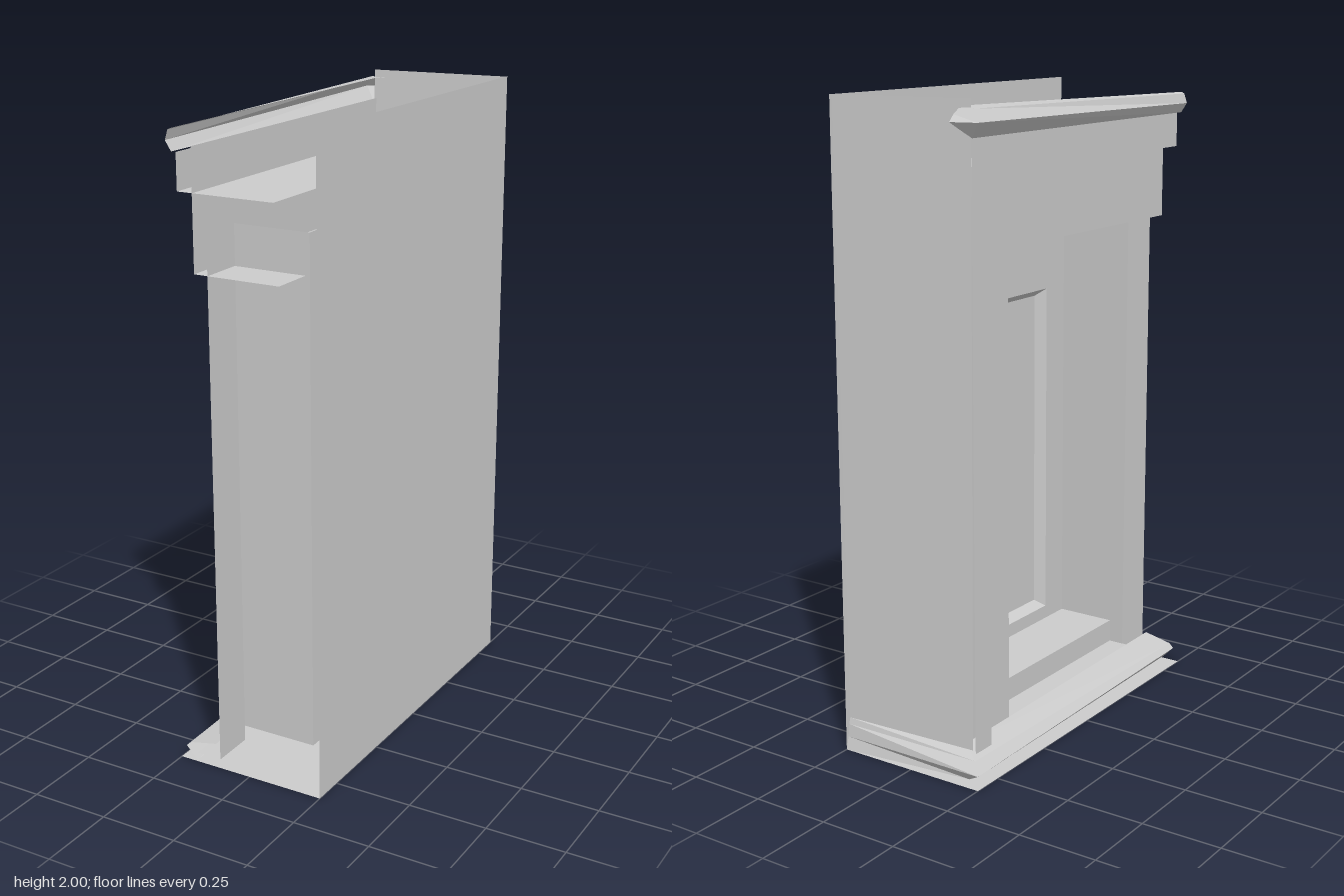
import * as THREE from 'three';

const material = new THREE.MeshStandardMaterial({ color: 0xcccccc, flatShading: true, side: THREE.DoubleSide });

// Loft a strip of faces through cross-sections that have equal point counts.
function loft(name, sections) {
  const n = sections[0].length;
  const index = [];
  for (let s = 0; s < sections.length - 1; s++) {
    for (let i = 0; i < n - 1; i++) {
      const a = s * n + i, b = a + n;
      index.push(a, b, a + 1, b, b + 1, a + 1);
    }
  }
  const g = new THREE.BufferGeometry();
  g.setAttribute('position', new THREE.Float32BufferAttribute(sections.flat(2), 3));
  g.setIndex(index);
  g.computeVertexNormals();
  const mesh = new THREE.Mesh(g, material);
  mesh.name = name;
  return mesh;
}

// Flat panels facing along each axis.
const panelX = (name, x, y0, y1, z0, z1) =>
  loft(name, [[[x, y0, z0], [x, y1, z0]], [[x, y0, z1], [x, y1, z1]]]);
const panelY = (name, y, x0, x1, z0, z1) =>
  loft(name, [[[x0, y, z0], [x1, y, z0]], [[x0, y, z1], [x1, y, z1]]]);
const panelZ = (name, z, x0, x1, y0, y1) =>
  loft(name, [[[x0, y0, z], [x1, y0, z]], [[x0, y1, z], [x1, y1, z]]]);

// Rectangular ring between two rectangles [x, y0, y1, z0, z1].
function ring(name, outer, inner) {
  const corners = ([x, y0, y1, z0, z1]) =>
    [[x, y0, z0], [x, y1, z0], [x, y1, z1], [x, y0, z1], [x, y0, z0]];
  return loft(name, [corners(outer), corners(inner)]);
}

export function createModel() {
  const model = new THREE.Group();
  model.name = 'doorwayBlock';

  // Outer shell
  model.add(
    panelX('rearWall', 0.25, 0, 2, -0.6, 0.6),
    panelY('base', 0, -0.25, 0.25, -0.6, 0.6),
    loft('sideWall', [
      [[0.25, 0.1, -0.58], [-0.19, 0.09, -0.54]],
      [[0.25, 2, -0.59], [-0.2, 2, -0.54]],
    ]),
    panelX('cornerStrip', -0.2, 0.08, 1.9, -0.54, -0.46),
  );

  // Outer order of the doorway
  model.add(
    panelX('upperFascia', -0.2, 1.79, 1.9, -0.46, 0.6),
    panelY('outerSoffit', 1.79, -0.2, 0.115, -0.46, 0.6),
    panelZ('outerReveal', -0.46, -0.2, 0.115, 0.03, 1.79),
  );

  // Middle order
  model.add(
    panelX('lintel', -0.15, 1.56, 1.92, -0.46, 0.6),
    panelX('middleStrip', -0.15, 0.03, 1.56, -0.46, -0.415),
    panelY('middleSoffit', 1.56, -0.15, 0.13, -0.415, 0.6),
    panelZ('middleReveal', -0.415, -0.15, 0.13, 0.03, 1.56),
    panelY('threshold', 0.03, -0.19, 0.13, -0.46, 0.6),
  );

  // Inner jambs on both sides of the door
  for (const [edge, far] of [[-0.23, -0.415], [0.46, 0.6]]) {
    model.add(
      panelX('jambFace', -0.105, 0.03, 1.685, Math.min(edge, far), Math.max(edge, far)),
      panelZ('jambReveal', edge, -0.105, 0.145, 0.08, 1.685),
    );
  }

  // Steps in front of the door
  model.add(
    panelY('lowerStep', 0.08, -0.13, -0.055, -0.23, 0.46),
    panelX('stepRiser', -0.055, 0.08, 0.155, -0.23, 0.46),
    panelY('upperStep', 0.155, -0.055, 0.145, -0.23, 0.46),
  );

  // Door with a recessed panel and a small upper pane
  const frame = [0.145, 0.2, 1.32, -0.13, 0.355];
  const recess = [0.18, 0.22, 1.295, -0.11, 0.335];
  model.add(
    ring('doorFrame', [0.145, 0.08, 1.685, -0.23, 0.46], frame),
    ring('doorBevel', frame, recess),
    panelX('doorPanel', ...recess),
    panelX('doorPane', 0.168, 1.04, 1.27, -0.02, 0.25),
  );

  // Cornice: short return around the corner, then tapering along the facade
  model.add(loft('cornice', [
    [[-0.17, 1.92, -0.56], [-0.17, 1.94, -0.6], [-0.17, 1.96, -0.58], [-0.16, 1.975, -0.54]],
    [[-0.21, 1.895, -0.55], [-0.25, 1.94, -0.58], [-0.22, 1.975, -0.56], [-0.17, 1.98, -0.5]],
    [[-0.215, 1.9, 0.6], [-0.235, 1.93, 0.6], [-0.225, 1.96, 0.6], [-0.215, 1.965, 0.6]],
  ]));

  // Plinth moulding: tapering along the side, then along the facade
  model.add(loft('plinth', [
    [[0.25, 0, -0.6], [0.25, 0.04, -0.59], [0.25, 0.08, -0.585], [0.25, 0.1, -0.58]],
    [[-0.19, 0.005, -0.56], [-0.25, 0.045, -0.6], [-0.22, 0.075, -0.57], [-0.15, 0.095, -0.52]],
    [[-0.19, 0.005, 0.6], [-0.23, 0.045, 0.6], [-0.215, 0.06, 0.6], [-0.12, 0.08, 0.6]],
  ]));

  return model;
}
